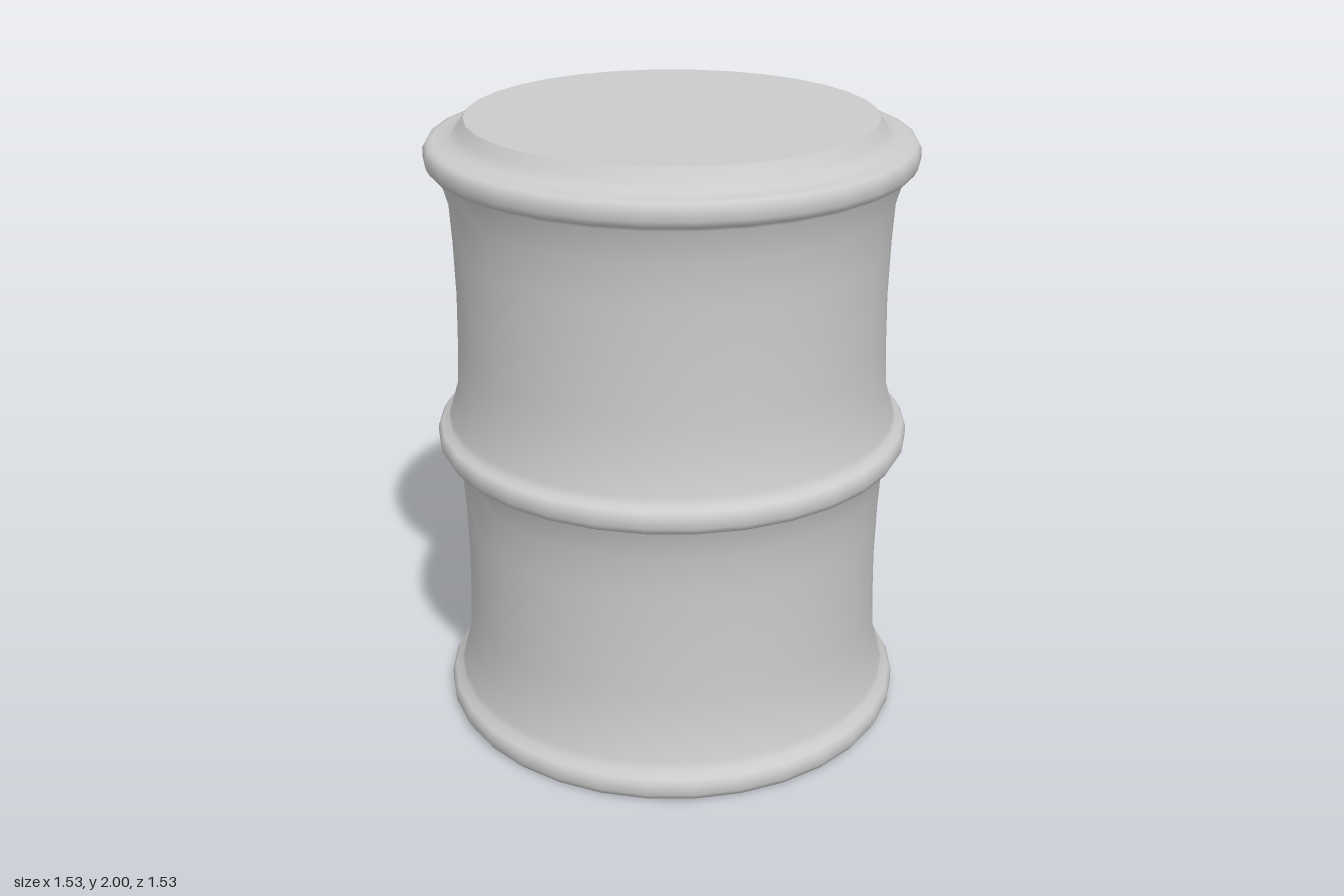
import * as THREE from 'three';

const SIDES = 32;

export function createModel() {
  const group = new THREE.Group();
  group.name = 'barrel';
  const material = new THREE.MeshStandardMaterial({ color: 0xcccccc });

  const add = (name, geometry) => {
    const mesh = new THREE.Mesh(geometry, material);
    mesh.name = name;
    group.add(mesh);
    return mesh;
  };
  const lathe = (name, points) =>
    add(name, new THREE.LatheGeometry(points.map(([r, y]) => new THREE.Vector2(r, y)), SIDES));

  // Rounded hoop profile, from its lower edge up to its outer top edge
  const hoop = (y) => [
    [0.735, y], [0.755, y + 0.005], [0.766, y + 0.025],
    [0.766, y + 0.055], [0.755, y + 0.075],
  ];
  // Waisted wall between two hoops
  const wall = (y) => [
    [0.732, y], [0.725, y + 0.025], [0.697, y + 0.12], [0.69, y + 0.25],
    [0.686, y + 0.42], [0.69, y + 0.6], [0.697, y + 0.73], [0.725, y + 0.83],
  ];

  // Side wall with its three hoops and sloping shoulder
  lathe('body', [
    ...hoop(0), ...wall(0.092),
    ...hoop(0.93), ...wall(1.012),
    ...hoop(1.855),
    [0.735, 1.935], [0.685, 1.94], [0.66, 1.97], [0.64, 2],
  ]);

  // Flat lid and base
  const lid = add('lid', new THREE.CircleGeometry(0.64, SIDES));
  lid.rotation.x = -Math.PI / 2;
  lid.position.y = 2;
  const base = add('base', new THREE.CircleGeometry(0.735, SIDES));
  base.rotation.x = Math.PI / 2;

  return group;
}
